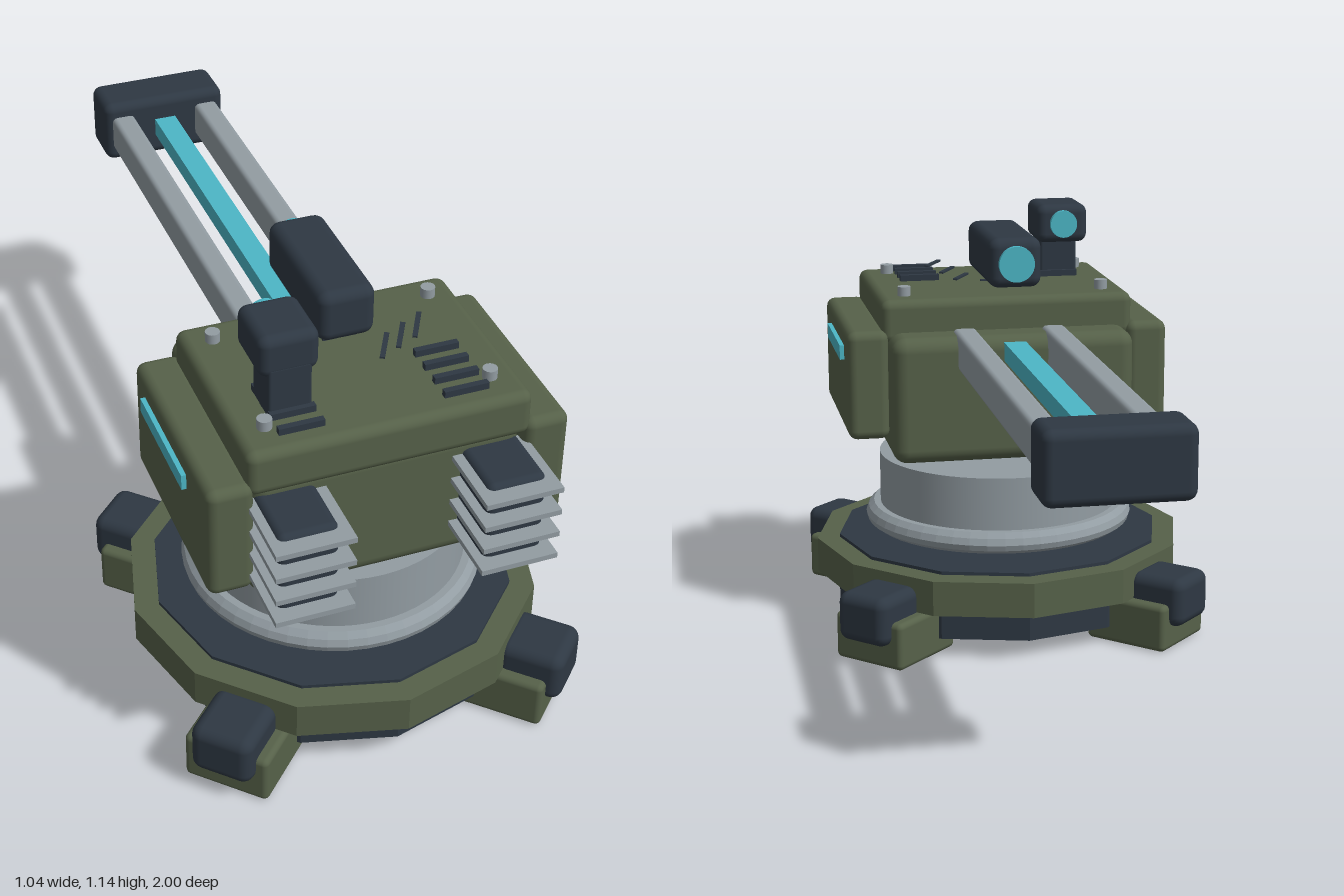
import * as THREE from 'three';
import { RoundedBoxGeometry } from 'three/addons/geometries/RoundedBoxGeometry.js';

const mat = (color, extra = {}) => new THREE.MeshStandardMaterial({ color, ...extra });

export function createModel() {
  const model = new THREE.Group();
  const green = mat(0x566149), dark = mat(0x2e3843), steel = mat(0x929ca2), cyan = mat(0x4cb6c6);
  const greenFlat = mat(0x566149, { flatShading: true });
  const darkFlat = mat(0x2e3843, { flatShading: true });
  const CZ = 0.465; // turret axis

  const add = (name, geo, material, parent = model) => {
    const mesh = new THREE.Mesh(geo, material);
    mesh.name = name;
    parent.add(mesh);
    return mesh;
  };
  // box given by its limits on each axis, rounded by r (plain when r = 0)
  const box = (name, [x0, x1], [y0, y1], [z0, z1], r, material, parent) => {
    const s = [x1 - x0, y1 - y0, z1 - z0];
    const geo = r ? new RoundedBoxGeometry(...s, 3, r) : new THREE.BoxGeometry(...s);
    const mesh = add(name, geo, material, parent);
    mesh.position.set((x0 + x1) / 2, (y0 + y1) / 2, (z0 + z1) / 2);
    return mesh;
  };
  const span = (side, a, b) => (side > 0 ? [a, b] : [-b, -a]);
  const disc = (name, r, y0, y1, sides, material) => {
    const mesh = add(name, new THREE.CylinderGeometry(r, r, y1 - y0, sides), material);
    mesh.position.set(0, (y0 + y1) / 2, CZ);
  };

  // twelve-sided base
  disc('baseUnderbody', 0.46, 0.045, 0.14, 12, darkFlat);
  disc('basePlate', 0.52, 0.13, 0.226, 12, greenFlat);
  disc('baseTopPlate', 0.457, 0.22, 0.235, 12, darkFlat);

  // four diagonal feet
  for (let i = 0; i < 4; i++) {
    const foot = new THREE.Group();
    foot.name = 'foot';
    foot.position.set(0, 0, CZ);
    foot.rotation.y = Math.PI / 4 + (i * Math.PI) / 2;
    box('footPad', [-0.11, 0.11], [0, 0.13], [0.37, 0.615], 0.015, green, foot);
    box('footDamper', [-0.08, 0.08], [0.065, 0.2], [0.48, 0.65], 0.03, dark, foot);
    model.add(foot);
  }

  // bearing flange and turret drum
  const flange = [[0, 0.26], [0.355, 0.26], [0.372, 0.272], [0.377, 0.288], [0.37, 0.306], [0.355, 0.32], [0, 0.32]];
  const ring = add('bearingFlange', new THREE.LatheGeometry(flange.map(p => new THREE.Vector2(...p)), 48),
    mat(0x929ca2, { flatShading: true }));
  ring.position.z = CZ;
  disc('turretDrum', 0.336, 0.31, 0.466, 64, steel);

  // turret body
  box('lowerHull', [-0.332, 0.332], [0.495, 0.842], [0.2, 0.81], 0.04, green);
  box('upperHull', [-0.347, 0.347], [0.81, 0.93], [0.3, 0.825], 0.025, green);

  for (const s of [-1, 1]) {
    // side armour with light strips
    box('sidePod', span(s, 0.33, 0.443), [0.55, 0.85], [0.285, 0.83], 0.025, green);
    box('sideLight', span(s, 0.435, 0.455), [0.76, 0.8], [0.37, 0.68], 0, cyan);

    // finned radiators
    box('radiatorCore', span(s, 0.178, 0.325), [0.54, 0.8], [0.78, 0.96], 0.02, dark);
    for (let i = 0; i < 4; i++) {
      const y = 0.588 + i * 0.0645;
      box('radiatorFin', span(s, 0.155, 0.345), [y - 0.007, y + 0.007], [0.79, 1], 0, steel);
    }

    // gun rails
    box('gunRail', span(s, 0.09, 0.155), [0.75, 0.85], [-0.87, 0.3], 0.014, steel);

    // roof bolts and louvres
    for (const z of [0.378, 0.733]) {
      const bolt = add('roofBolt', new THREE.CylinderGeometry(0.018, 0.018, 0.035, 16), steel);
      bolt.position.set(s * 0.275, 0.938, z);
    }
    for (let i = 0; i < 4; i++) {
      const z = 0.598 + i * 0.056;
      box('roofLouvre', span(s, 0.145, 0.255), [0.925, 0.947], [z - 0.008, z + 0.008], 0, dark);
    }
  }

  // charge strip and muzzle block
  box('energyStrip', [-0.03, 0.03], [0.775, 0.825], [-0.87, 0.22], 0, cyan);
  box('muzzleBlock', [-0.175, 0.175], [0.712, 0.888], [-1, -0.853], 0.025, dark);

  // forward sensor
  const lens = (x, y, z, r) => {
    const mesh = add('lens', new THREE.CylinderGeometry(r, r, 0.03, 32), cyan);
    mesh.rotation.x = Math.PI / 2;
    mesh.position.set(x, y, z);
  };
  box('sensorHousing', [-0.071, 0.071], [0.973, 1.107], [0.187, 0.545], 0.028, dark);
  lens(0, 1.04, 0.188, 0.048);

  // periscope
  box('periscopePost', [-0.255, -0.15], [0.925, 1.06], [0.6, 0.705], 0.008, dark);
  box('periscopeHead', [-0.275, -0.13], [1.033, 1.141], [0.54, 0.705], 0.025, dark);
  lens(-0.203, 1.088, 0.54, 0.038);

  // stepped diagonal slats and thin roof marks
  for (let i = 0; i < 3; i++) {
    const slat = add('roofSlat', new THREE.BoxGeometry(0.012, 0.005, 0.1), dark);
    slat.position.set(0.088 + i * 0.04, 0.945 + i * 0.02, 0.555);
    slat.rotation.y = -0.5;
    box('roofMark', [-0.09 + i * 0.05, -0.055 + i * 0.05], [0.943, 0.947], [0.48, 0.488], 0, dark);
  }

  return model;
}
